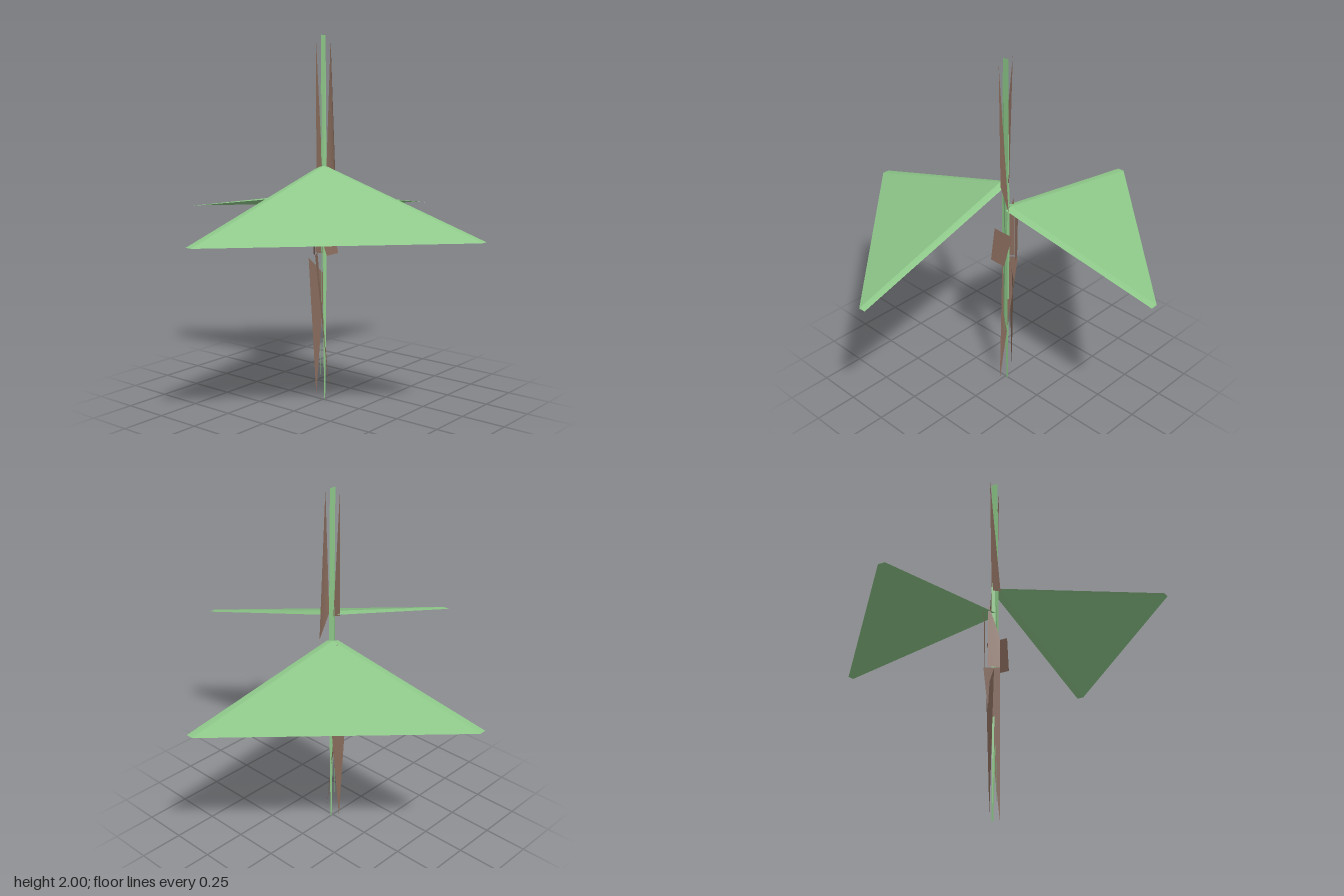
import * as THREE from 'three';

const green = new THREE.MeshStandardMaterial({ color: 0x8fc98a, side: THREE.DoubleSide });
const brown = new THREE.MeshStandardMaterial({ color: 0x86695a, side: THREE.DoubleSide });

// Thin flat sheet through three or four corners
function sheet(name, material, corners) {
  const geometry = new THREE.BufferGeometry();
  geometry.setAttribute('position', new THREE.Float32BufferAttribute(corners.flat(), 3));
  geometry.setIndex(corners.length === 4 ? [0, 1, 2, 0, 2, 3] : [0, 1, 2]);
  geometry.computeVertexNormals();
  const mesh = new THREE.Mesh(geometry, material);
  mesh.name = name;
  return mesh;
}

// Triangular leaf sloping from an apex on the stem, with a narrow band along each side
function leaf(name, s, h) {
  const w = 0.02;
  const group = new THREE.Group();
  group.name = name;
  group.add(
    sheet('leafBlade', green, [[s * w, h, s * w], [s * w, 1, s], [s, 1, s * w]]),
    sheet('sideBandX', green, [[s * w, h, s * w], [s, 1, s * w], [s, 1, -s * w], [s * w, h - 0.01, -s * w]]),
    sheet('sideBandZ', green, [[s * w, h, s * w], [-s * w, h - 0.01, s * w], [-s * w, 1, s], [s * w, 1, s]])
  );
  return group;
}

export function createModel() {
  const model = new THREE.Group();
  model.add(leaf('frontLeaf', 1, 1.31), leaf('backLeaf', -1, 1.16));

  // Upright green blades along the stem, one up and one down
  for (const [name, tip, base] of [['upperBlade', 2, 1], ['lowerBlade', 0, 1]]) {
    const z = tip ? -0.02 : -0.018;
    model.add(sheet(name, green, [[0, tip, z], [0, tip, tip ? 0.02 : -0.008], [0.01, base, 0.02], [0.01, base, -0.02]]));
    const end = tip ? 1.87 : 0.08;
    for (const x of [-0.018, 0.016]) {
      model.add(sheet(name + 'Sliver', green, [[x, end, 0], [x * 0.3, base, 0.012], [x, base, -0.012]]));
    }
  }

  // Long brown splinters
  model.add(
    sheet('upperSplinter', brown, [[0.05, 1.98, 0], [0.06, 1.31, -0.02], [0.04, 1.16, -0.06], [0.015, 1.31, -0.01]]),
    sheet('upperSplinter', brown, [[-0.05, 2, 0], [-0.015, 1.3, -0.01], [-0.01, 1.28, 0.045]]),
    sheet('lowerSplinter', brown, [[0.05, 0.01, 0], [-0.02, 0.82, 0.045], [-0.065, 0.82, -0.03]]),
    sheet('lowerSplinter', brown, [[-0.05, 0.02, 0], [-0.07, 0.8, 0.04], [-0.02, 0.7, -0.04]])
  );

  // Short brown bark flakes around the middle
  model.add(
    sheet('barkFlake', brown, [[0.015, 1, 0.07], [0.015, 1, -0.06], [0.065, 0.83, -0.05], [0.065, 0.83, 0.05]]),
    sheet('barkFlake', brown, [[-0.065, 1.19, 0], [-0.02, 1, 0.045], [-0.02, 0.82, 0.045], [-0.07, 0.82, 0]]),
    sheet('barkFlake', brown, [[-0.065, 1.16, -0.03], [-0.02, 1.1, -0.05], [-0.02, 0.82, -0.05], [-0.07, 0.82, -0.02]])
  );
  return model;
}
